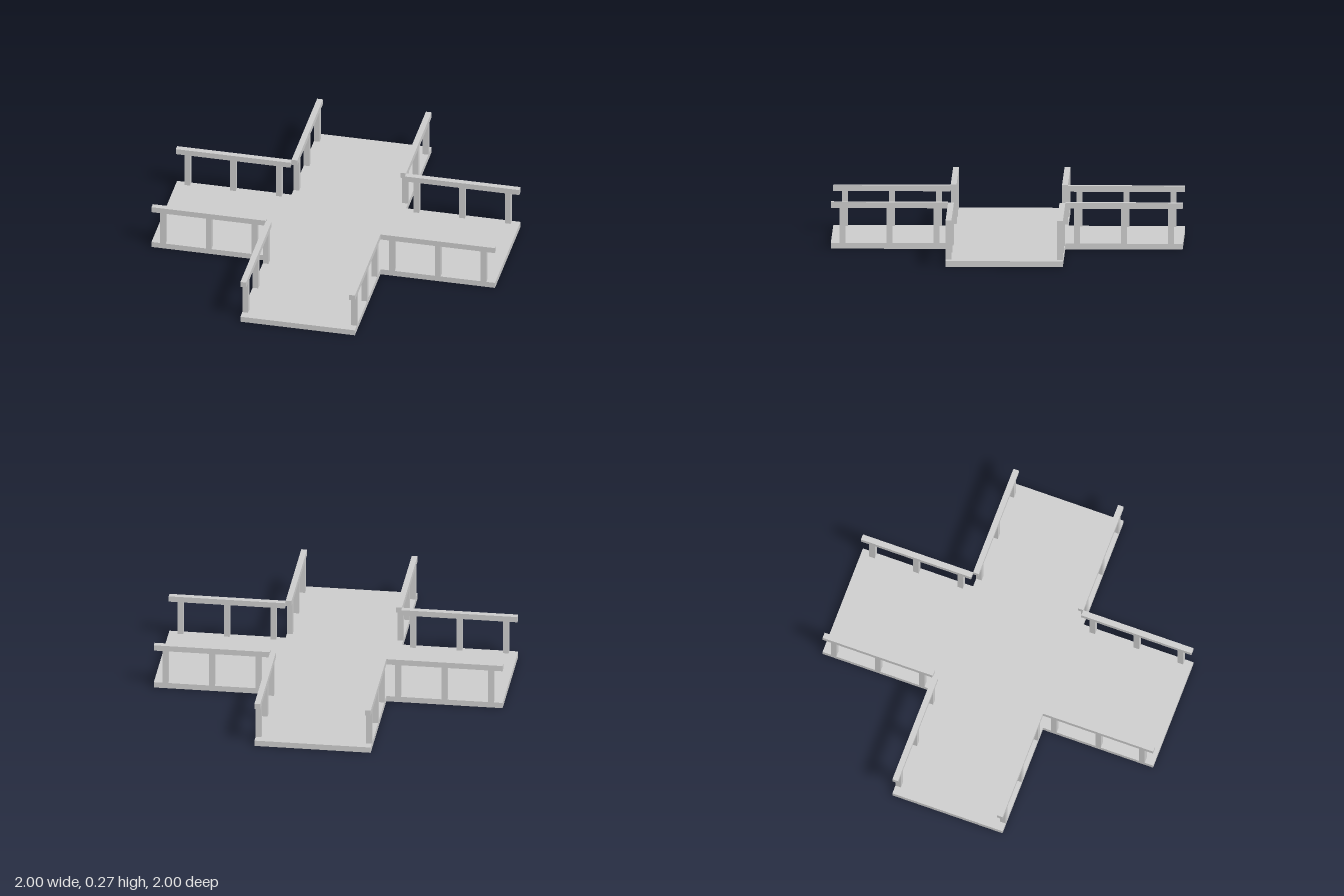
import * as THREE from 'three';

const T = 1 / 30;      // thickness of deck, posts and rails
const W = 1 / 3;       // half width of each arm
const RAIL_TOP = 0.267;

const material = new THREE.MeshStandardMaterial({ color: 0xcccccc, flatShading: true });

function box(name, w, h, d, x, y, z) {
  const mesh = new THREE.Mesh(new THREE.BoxGeometry(w, h, d), material);
  mesh.name = name;
  mesh.position.set(x, y, z);
  return mesh;
}

// Cross-shaped floor slab
function makeDeck() {
  const outline = [
    [W, W], [W, 1], [-W, 1], [-W, W], [-1, W], [-1, -W],
    [-W, -W], [-W, -1], [W, -1], [W, -W], [1, -W], [1, W],
  ].map(([x, y]) => new THREE.Vector2(x, y));
  const geometry = new THREE.ExtrudeGeometry(new THREE.Shape(outline), { depth: T, bevelEnabled: false });
  geometry.rotateX(-Math.PI / 2);
  const deck = new THREE.Mesh(geometry, material);
  deck.name = 'deck';
  return deck;
}

// Handrail on three posts along one edge of the +x arm
function makeRailing(side) {
  const railing = new THREE.Group();
  railing.name = 'railing';
  const z = side * (W - T / 2);
  railing.add(box('handrail', 1 - W, T, T, (1 + W) / 2, RAIL_TOP - T / 2, z));
  const postHeight = RAIL_TOP - 2 * T;
  for (const x of [0.4, 0.667, 0.933]) {
    railing.add(box('post', T, postHeight, T, x, T + postHeight / 2, z));
  }
  return railing;
}

export function createModel() {
  const model = new THREE.Group();
  model.name = 'crossWalkway';
  model.add(makeDeck());

  // Two railings on each of the four arms
  for (let i = 0; i < 4; i++) {
    const arm = new THREE.Group();
    arm.name = 'armRailings';
    arm.add(makeRailing(1), makeRailing(-1));
    arm.rotation.y = (i * Math.PI) / 2;
    model.add(arm);
  }
  return model;
}
